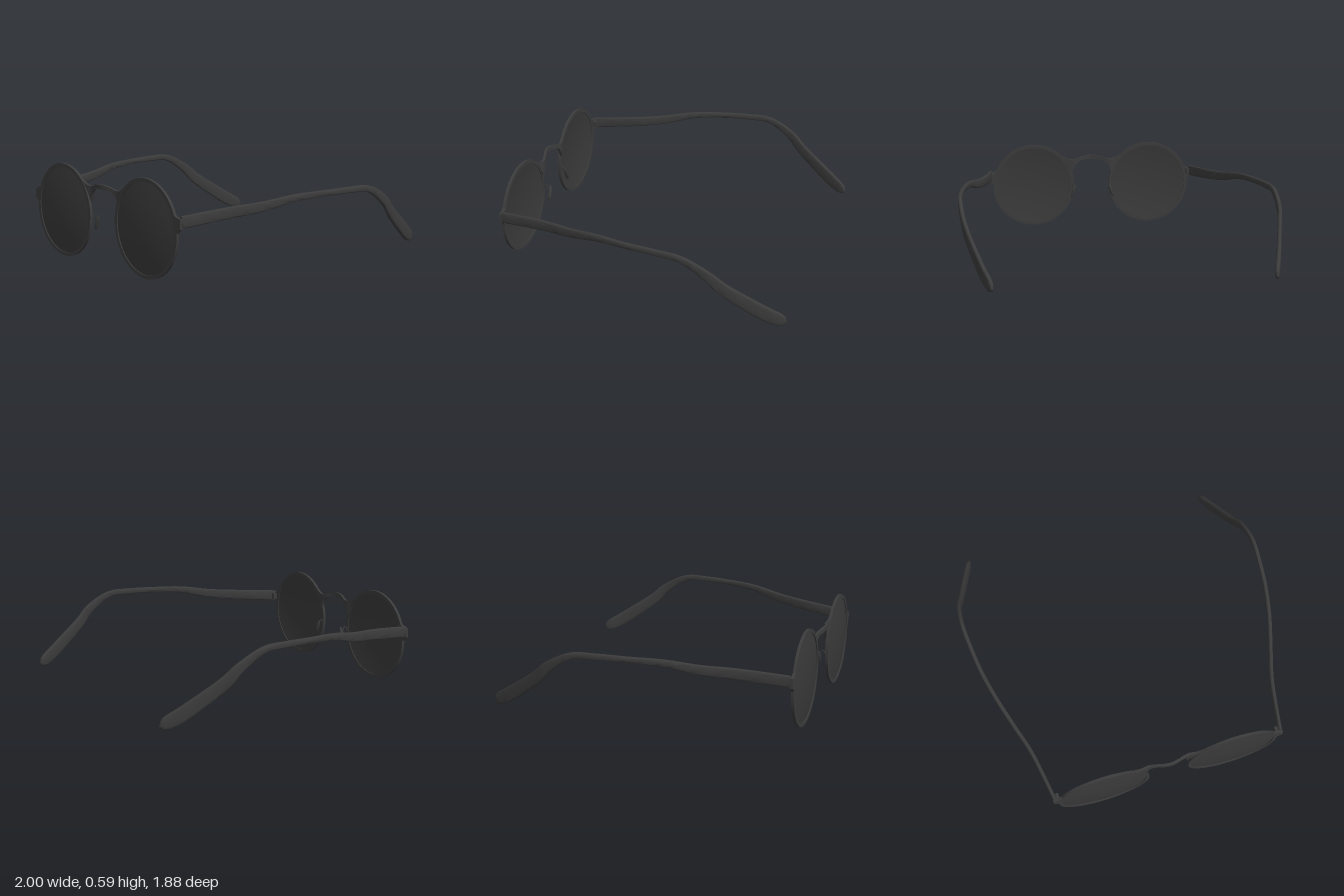
import * as THREE from 'three';
import { toCreasedNormals } from 'three/addons/utils/BufferGeometryUtils.js';

const V = (x, y, z) => new THREE.Vector3(x, y, z);

// Smoothly interpolates a table of rows; t runs from 0 to 1
function sample(rows, t) {
  const f = t * (rows.length - 1), i = Math.min(Math.floor(f), rows.length - 2), u = f - i;
  const row = k => rows[Math.max(0, Math.min(rows.length - 1, k))];
  return rows[0].map((_, c) => {
    const [a, b, d, e] = [row(i - 1)[c], row(i)[c], row(i + 1)[c], row(i + 2)[c]];
    return b + 0.5 * u * (d - a + u * (2 * a - 5 * b + 4 * d - e + u * (3 * (b - d) + e - a)));
  });
}

// Skins a list of closed rings and caps both ends
function loft(rings) {
  const n = rings[0].length, last = rings.length - 1, index = [];
  const points = rings.flat();
  for (let i = 0; i < last; i++) for (let j = 0; j < n; j++) {
    const a = i * n + j, b = i * n + (j + 1) % n;
    index.push(a, b, b + n, a, b + n, a + n);
  }
  for (const k of [0, last]) {
    const centre = rings[k].reduce((s, p) => s.add(p), V(0, 0, 0)).divideScalar(n);
    const c = points.push(centre) - 1;
    for (let j = 0; j < n; j++) {
      const a = k * n + j, b = k * n + (j + 1) % n;
      index.push(c, ...(k ? [a, b] : [b, a]));
    }
  }
  const g = new THREE.BufferGeometry().setFromPoints(points);
  g.setIndex(index);
  g.computeVertexNormals();
  return g;
}

// Mirrors a geometry in x and restores the winding
function mirrored(geometry) {
  const g = geometry.index ? geometry.toNonIndexed() : geometry.clone();
  g.scale(-1, 1, 1);
  for (const a of Object.values(g.attributes)) {
    const s = a.itemSize;
    for (let i = 0; i < a.count; i += 3) for (let c = 0; c < s; c++) {
      const p = (i + 1) * s + c, q = (i + 2) * s + c;
      [a.array[p], a.array[q]] = [a.array[q], a.array[p]];
    }
  }
  return g;
}

function lathe(profile) {
  const g = new THREE.LatheGeometry(profile.map(p => new THREE.Vector2(...p)), 72);
  g.rotateX(Math.PI / 2);
  return toCreasedNormals(g, 0.6).translate(0.42, 0.295, 0);
}

// Temple arm rows: x, y, z, height, width
const TEMPLE = [
  [0.733, 0.372, 0.9, 0.074, 0.024], [0.785, 0.4, 0.6, 0.068, 0.026],
  [0.845, 0.42, 0.4, 0.06, 0.026], [0.905, 0.457, 0.2, 0.044, 0.026],
  [0.95, 0.469, 0, 0.037, 0.026], [0.975, 0.473, -0.2, 0.038, 0.026],
  [0.985, 0.463, -0.35, 0.042, 0.026], [0.976, 0.38, -0.5, 0.062, 0.026],
  [0.95, 0.287, -0.6, 0.078, 0.027], [0.886, 0.147, -0.8, 0.09, 0.028],
  [0.853, 0.095, -0.89, 0.082, 0.028], [0.841, 0.078, -0.925, 0.055, 0.024],
  [0.837, 0.073, -0.942, 0.01, 0.01],
];

function templeGeometry() {
  const rings = [], steps = 72, sides = 16;
  const at = t => V(...sample(TEMPLE, t).slice(0, 3));
  const soft = v => Math.sign(v) * Math.sqrt(Math.abs(v));
  for (let i = 0; i <= steps; i++) {
    const t = i / steps, [x, y, z, h, w] = sample(TEMPLE, t);
    const T = at(Math.min(1, t + 0.01)).sub(at(Math.max(0, t - 0.01))).normalize();
    const S = V(0, 1, 0).cross(T).normalize(), U = T.clone().cross(S);
    rings.push(Array.from({ length: sides }, (_, j) => {
      const a = j / sides * Math.PI * 2;
      return V(x, y, z).addScaledVector(S, soft(Math.cos(a)) * w / 2)
        .addScaledVector(U, soft(Math.sin(a)) * h / 2);
    }));
  }
  return toCreasedNormals(loft(rings), 0.9);
}

// Half bridge rows: x, bottom, top, z
const BRIDGE = [
  [0, 0.476, 0.504, 0.928], [0.05, 0.472, 0.499, 0.92], [0.09, 0.461, 0.488, 0.907],
  [0.118, 0.437, 0.479, 0.9], [0.135, 0.4, 0.477, 0.898], [0.15, 0.378, 0.478, 0.9],
  [0.18, 0.437, 0.486, 0.906], [0.22, 0.489, 0.511, 0.91],
];

function bridgeGeometry() {
  const rows = [...BRIDGE.slice(1).reverse().map(([x, ...r]) => [-x, ...r]), ...BRIDGE];
  const rings = [];
  for (let i = 0; i <= 56; i++) {
    const [x, b, t, z] = sample(rows, i / 56), d = 0.008;
    rings.push([V(x, b, z - d), V(x, t, z - d), V(x, t, z + d), V(x, b, z + d)]);
  }
  return toCreasedNormals(loft(rings), 0.7);
}

export function createModel() {
  const model = new THREE.Group();
  const material = (name, color) => {
    const m = new THREE.MeshStandardMaterial({ color });
    m.name = name;
    return m;
  };
  const frame = material('frame charcoal', 0x3b3b3b);
  const tint = material('lens charcoal', 0x393939);
  const add = (name, geometry, mat) => {
    const mesh = new THREE.Mesh(geometry, mat);
    mesh.name = name;
    model.add(mesh);
  };
  const pair = (name, geometry, mat) => {
    add('left' + name, geometry, mat);
    add('right' + name, mirrored(geometry), mat);
  };

  // Round rims
  pair('Rim', lathe([[0.271, 0.902], [0.293, 0.902], [0.293, 0.92], [0.271, 0.92], [0.271, 0.902]]), frame);

  // Thin domed lenses
  const dome = z => Array.from({ length: 9 }, (_, i) => [0.274 * i / 8, z + 0.023 * (1 - (i / 8) ** 2)]);
  pair('Lens', lathe([...dome(0.907), ...dome(0.913).reverse()]), tint);

  add('bridge', bridgeGeometry(), frame);

  // End pieces flaring out of the rims
  const end = new THREE.Shape();
  end.moveTo(0.668, 0.432);
  end.quadraticCurveTo(0.7, 0.392, 0.745, 0.395);
  end.lineTo(0.745, 0.335);
  end.quadraticCurveTo(0.71, 0.325, 0.703, 0.27);
  end.quadraticCurveTo(0.71, 0.36, 0.668, 0.432);
  pair('EndPiece', new THREE.ExtrudeGeometry(end, { depth: 0.018, bevelEnabled: false, curveSegments: 8 })
    .translate(0, 0, 0.902), frame);

  // Hinges
  pair('Hinge', new THREE.BoxGeometry(0.02, 0.04, 0.036).translate(0.713, 0.37, 0.888), frame);
  pair('Temple', templeGeometry(), frame);

  // Nose pads on bent wires
  const pad = new THREE.SphereGeometry(1, 20, 14).scale(0.009, 0.05, 0.013);
  pair('NosePad', pad.rotateZ(0.35).translate(0.138, 0.247, 0.862), frame);
  const wire = new THREE.CatmullRomCurve3([V(0.137, 0.25, 0.908), V(0.136, 0.28, 0.9),
    V(0.135, 0.297, 0.888), V(0.136, 0.285, 0.876), V(0.138, 0.25, 0.865)]);
  pair('PadWire', new THREE.TubeGeometry(wire, 20, 0.004, 8), frame);

  return model;
}
